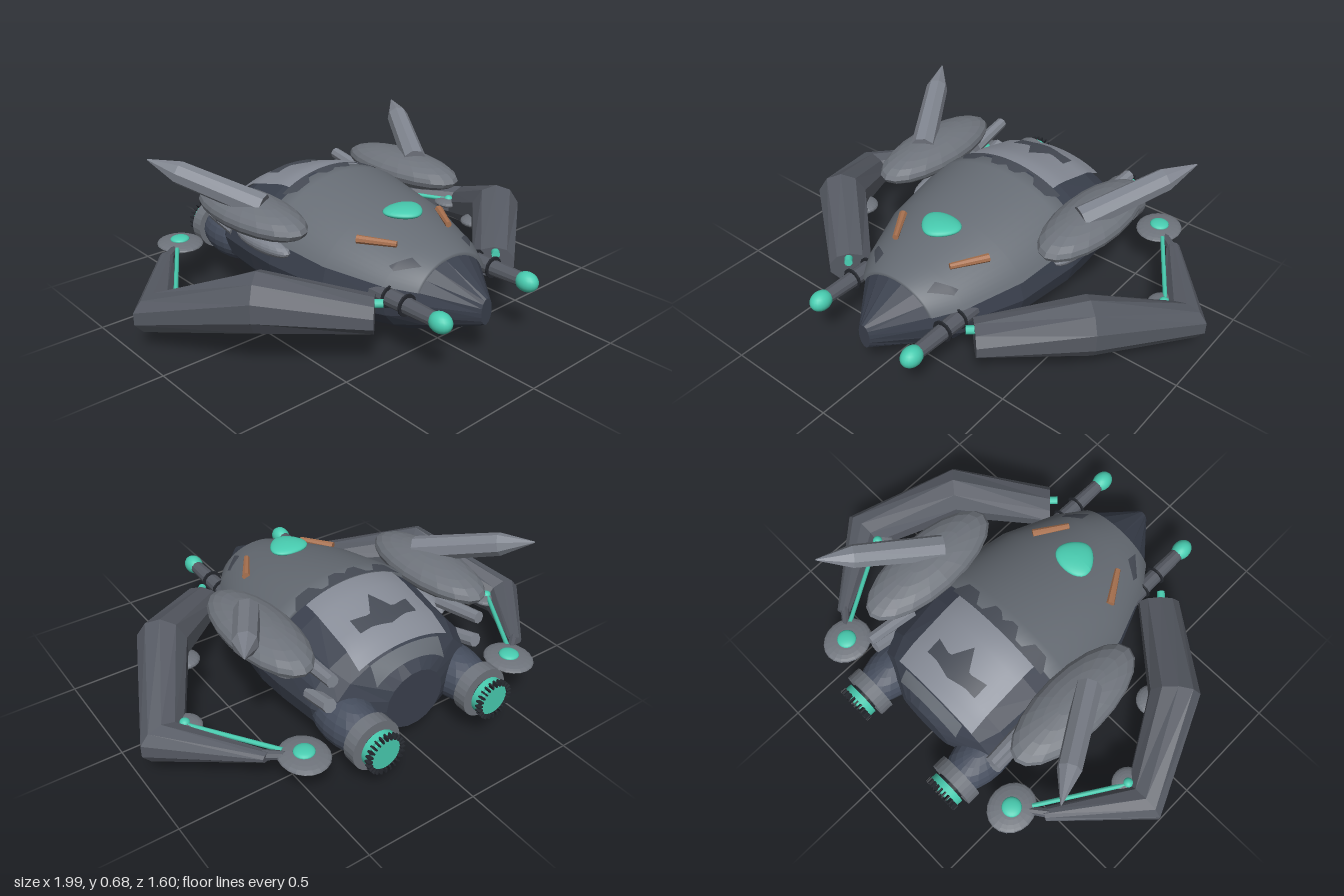
import * as THREE from 'three';

const mat = (color, side = THREE.FrontSide, flatShading = true) => new THREE.MeshStandardMaterial({ color, side, flatShading });
const M = {
  hull: mat(0x3a404d), nacelle: mat(0x464e5e), shell: mat(0x666c74, THREE.DoubleSide, false),
  light: mat(0x868b96, THREE.DoubleSide, false), dark: mat(0x464b55, THREE.DoubleSide, false),
  pod: mat(0x6f747c), spike: mat(0x7f848e), arm: mat(0x565a63),
  glow: mat(0x48ccb0, THREE.FrontSide, false), copper: mat(0xa8714f), black: mat(0x25282e),
};
const V = (x, y, z) => new THREE.Vector3(x, y, z);

// Hull stations: z, half width, bottom, widest height, top
const HULL = [
  [0.75, 0.03, 0.175, 0.235, 0.29], [0.56, 0.19, 0.09, 0.25, 0.395], [0.45, 0.27, 0.058, 0.25, 0.425],
  [0.2, 0.37, 0.02, 0.25, 0.5], [-0.1, 0.41, 0.003, 0.26, 0.565], [-0.25, 0.405, 0.003, 0.26, 0.56],
  [-0.46, 0.385, 0.015, 0.26, 0.5], [-0.55, 0.34, 0.06, 0.25, 0.455], [-0.63, 0.14, 0.11, 0.24, 0.375],
];

function station(z) {
  for (let i = 0; i < HULL.length - 1; i++) {
    const a = HULL[i], b = HULL[i + 1];
    if (z <= a[0] && z >= b[0]) return a.map((v, k) => THREE.MathUtils.lerp(v, b[k], (a[0] - z) / (a[0] - b[0])));
  }
  return HULL[HULL.length - 1];
}

// Height of the hull's upper surface
function surfaceY(x, z) {
  const [, w, , mid, top] = station(z);
  return mid + (top - mid) * Math.sqrt(Math.max(0, 1 - (x / w) ** 2));
}

function hullRing(z, from, to, steps, lift, closed) {
  const [, w, bottom, mid, top] = station(z), ring = [];
  for (let j = 0; j < steps + (closed ? 0 : 1); j++) {
    const a = from + (to - from) * j / steps, s = Math.sin(a);
    ring.push(V((w + lift) * Math.cos(a), mid + s * ((s > 0 ? top - mid : mid - bottom) + lift), z));
  }
  return ring;
}

// Skin over cross-sections that run from front to back
function loft(rings, closed) {
  const n = rings[0].length, pos = rings.flat().flatMap(p => p.toArray()), idx = [];
  for (let i = 0; i < rings.length - 1; i++) {
    for (let j = 0; j < (closed ? n : n - 1); j++) {
      const k = (j + 1) % n, p = i * n + j, q = i * n + k;
      idx.push(p, p + n, q, q, p + n, q + n);
    }
  }
  if (closed) {
    const last = (rings.length - 1) * n;
    for (let j = 1; j < n - 1; j++) idx.push(0, j, j + 1, last, last + j + 1, last + j);
  }
  const g = new THREE.BufferGeometry();
  g.setAttribute('position', new THREE.Float32BufferAttribute(pos, 3));
  g.setIndex(idx);
  g.computeVertexNormals();
  return g;
}

// Thin plate that follows the hull; z limits may vary with x
function patch(x0, x1, zBack, zFront, lift) {
  const g = new THREE.PlaneGeometry(1, 1, 16, 8), p = g.attributes.position;
  for (let i = 0; i < p.count; i++) {
    const x = THREE.MathUtils.lerp(x0, x1, p.getX(i) + 0.5);
    const z = THREE.MathUtils.lerp(zFront(x), zBack(x), p.getY(i) + 0.5);
    p.setXYZ(i, x, surfaceY(x, z) + lift, z);
  }
  g.computeVertexNormals();
  return g;
}

export function createModel() {
  const model = new THREE.Group();
  const add = (name, geo, material, parent = model) => {
    const m = new THREE.Mesh(geo, material);
    m.name = name;
    parent.add(m);
    return m;
  };
  // Tapered rod between two points
  const rod = (name, a, b, ra, rb, sides, material, parent) => {
    const d = b.clone().sub(a), m = add(name, new THREE.CylinderGeometry(rb, ra, d.length(), sides), material, parent);
    m.position.copy(a).addScaledVector(d, 0.5);
    m.quaternion.setFromUnitVectors(V(0, 1, 0), d.normalize());
    return m;
  };
  const ellipsoid = (name, c, r, material, parent) => {
    const m = add(name, new THREE.SphereGeometry(1, 20, 12), material, parent);
    m.position.copy(c);
    m.scale.copy(r);
    return m;
  };

  // Body, upper shell, rear hatch and trim
  add('hull', loft(HULL.map(s => hullRing(s[0], 0, Math.PI * 2, 18, 0, true)), true), M.hull);
  const shellZ = [0.56, 0.56, 0.45, 0.2, -0.1, -0.17, -0.17];
  add('upperShell', loft(shellZ.map((z, i) => hullRing(z, 0.35, Math.PI - 0.35, 28, i % 6 ? 0.015 : 0, false)), false), M.shell);
  add('rearHatch', patch(-0.22, 0.22, () => -0.55, () => -0.19, 0.018), M.light);
  const crestEdge = x => {
    const a = Math.abs(x);
    return a < 0.055 ? -0.31 - a * 1.6 : -0.40 + (a - 0.055) * 0.25;
  };
  add('hatchInlay', patch(-0.14, 0.14, x => -0.47 + 0.02 * Math.min(1, Math.abs(x) * 12), crestEdge, 0.024), M.dark);
  add('tailTrim', patch(-0.17, 0.17, () => -0.6, () => -0.555, 0.012), M.shell);
  add('hatchSurround', patch(-0.26, 0.26, () => -0.19, x => -0.15 + 0.025 * Math.sign(Math.sin(x * 40) * x), 0.021), M.dark);

  // Glowing dome, narrowing to the front
  const dome = new THREE.SphereGeometry(1, 28, 16), dp = dome.attributes.position;
  for (let i = 0; i < dp.count; i++) {
    const z = dp.getZ(i);
    dp.setXYZ(i, dp.getX(i) * (0.085 - 0.025 * z), dp.getY(i) * 0.022, z * 0.078);
  }
  dome.computeVertexNormals();
  add('topDome', dome, M.glow).position.set(0, 0.512, 0.29);

  for (const s of [1, -1]) {
    const side = new THREE.Group();
    side.name = s > 0 ? 'leftSide' : 'rightSide';
    model.add(side);
    const P = (x, y, z) => V(s * x, y, z);

    // Worn patch on the shell
    const xs = [s * 0.14, s * 0.22].sort((a, b) => a - b);
    add('shellPatch', patch(xs[0], xs[1], x => 0.48 - 0.6 * (Math.abs(x) - 0.14), x => 0.53 - 0.9 * (Math.abs(x) - 0.14), 0.024), M.dark, side);
    rod('copperVent', P(0.235, 0.445, 0.26), P(0.148, 0.443, 0.4), 0.018, 0.013, 8, M.copper, side);

    // Side pod with its swept spike and the blister below
    ellipsoid('sidePod', P(0.435, 0.483, -0.175), V(0.14, 0.073, 0.337), M.pod, side);
    ellipsoid('sideBlister', P(0.395, 0.34, -0.16), V(0.05, 0.042, 0.18), M.spike, side);
    const base = P(0.435, 0.53, -0.09), tip = P(0.7, 0.68, -0.53), neck = base.clone().lerp(tip, 0.72);
    rod('spikeBody', base, neck, 0.056, 0.05, 8, M.spike, side);
    rod('spikeTip', neck, tip, 0.05, 0.003, 8, M.spike, side);

    // Rear thruster stubs
    rod('upperStub', P(0.35, 0.43, -0.36), P(0.365, 0.46, -0.58), 0.03, 0.026, 8, M.spike, side);
    rod('lowerStub', P(0.36, 0.3, -0.42), P(0.37, 0.34, -0.57), 0.03, 0.03, 8, M.spike, side);

    // Nose lamp on a barrel with collars
    rod('lampBarrel', P(0.25, 0.27, 0.3), P(0.25, 0.275, 0.72), 0.042, 0.03, 12, M.arm, side);
    for (const z of [0.47, 0.565]) rod('barrelCollar', P(0.25, 0.275, z - 0.004), P(0.25, 0.275, z + 0.004), 0.047, 0.047, 12, M.black, side);
    ellipsoid('lampBulb', P(0.25, 0.275, 0.742), V(0.041, 0.042, 0.052), M.glow, side);

    // Engine: nacelle, ring, glowing disc and teeth
    const engine = new THREE.Group();
    engine.name = 'engine';
    engine.position.copy(P(0.275, 0.218, 0));
    side.add(engine);
    ellipsoid('nacelle', V(0, 0, -0.55), V(0.113, 0.11, 0.2), M.nacelle, engine);
    rod('engineRing', V(0, 0, -0.68), V(0, 0, -0.74), 0.11, 0.11, 28, M.pod, engine);
    rod('engineHub', V(0, 0, -0.73), V(0, 0, -0.755), 0.065, 0.065, 20, M.black, engine);
    rod('engineGlow', V(0, 0, -0.752), V(0, 0, -0.782), 0.08, 0.08, 28, M.glow, engine);
    rod('engineNozzle', V(0, 0, -0.78), V(0, 0, -0.795), 0.068, 0.068, 28, M.glow, engine);
    for (let i = 0; i < 24; i++) {
      const a = i / 24 * Math.PI * 2;
      const tooth = add('engineTooth', new THREE.BoxGeometry(0.02, 0.007, 0.025), M.black, engine);
      tooth.position.set(Math.cos(a) * 0.077, Math.sin(a) * 0.077, -0.793);
      tooth.rotation.z = a;
    }

    // Folded arm: centre, sideways direction, half width, half height
    const joints = [
      [[0.345, 0.24, 0.487], [0.71, 0.71], 0.093, 0.072], [[0.685, 0.3, 0.2], [0.77, 0.64], 0.112, 0.127],
      [[0.9, 0.165, -0.205], [1, -0.04], 0.1, 0.086], [[0.64, 0.212, -0.55], [0.9, -0.43], 0.03, 0.02],
    ];
    const rings = joints.map(([c, d, w, h]) => {
      const ring = [];
      for (let j = 0; j < 10; j++) {
        const a = (j + 0.5) / 10 * Math.PI * 2, k = Math.cos(a) * w;
        ring.push(P(c[0] + d[0] * k, c[1] + Math.sin(a) * h, c[2] + d[1] * k));
      }
      return s > 0 ? ring : ring.reverse();
    });
    add('foldedArm', loft(rings, true), M.arm, side);
    rod('shoulderLight', P(0.35, 0.288, 0.49), P(0.325, 0.29, 0.515), 0.018, 0.018, 10, M.glow, side);

    // Joint discs, cable and hand disc
    ellipsoid('upperJointDisc', P(0.63, 0.24, 0.13), V(0.07, 0.025, 0.07), M.pod, side);
    ellipsoid('elbowDisc', P(0.79, 0.195, -0.2), V(0.06, 0.02, 0.068), M.pod, side);
    ellipsoid('elbowLight', P(0.8, 0.21, -0.2), V(0.022, 0.018, 0.022), M.glow, side);
    rod('armCable', P(0.8, 0.205, -0.21), P(0.58, 0.222, -0.56), 0.01, 0.01, 8, M.glow, side);
    rod('wrist', P(0.65, 0.212, -0.53), P(0.56, 0.215, -0.6), 0.022, 0.015, 8, M.arm, side);
    ellipsoid('handDisc', P(0.525, 0.215, -0.625), V(0.1, 0.021, 0.112), M.pod, side);
    ellipsoid('handLight', P(0.525, 0.235, -0.625), V(0.043, 0.015, 0.043), M.glow, side);
  }
  return model;
}
